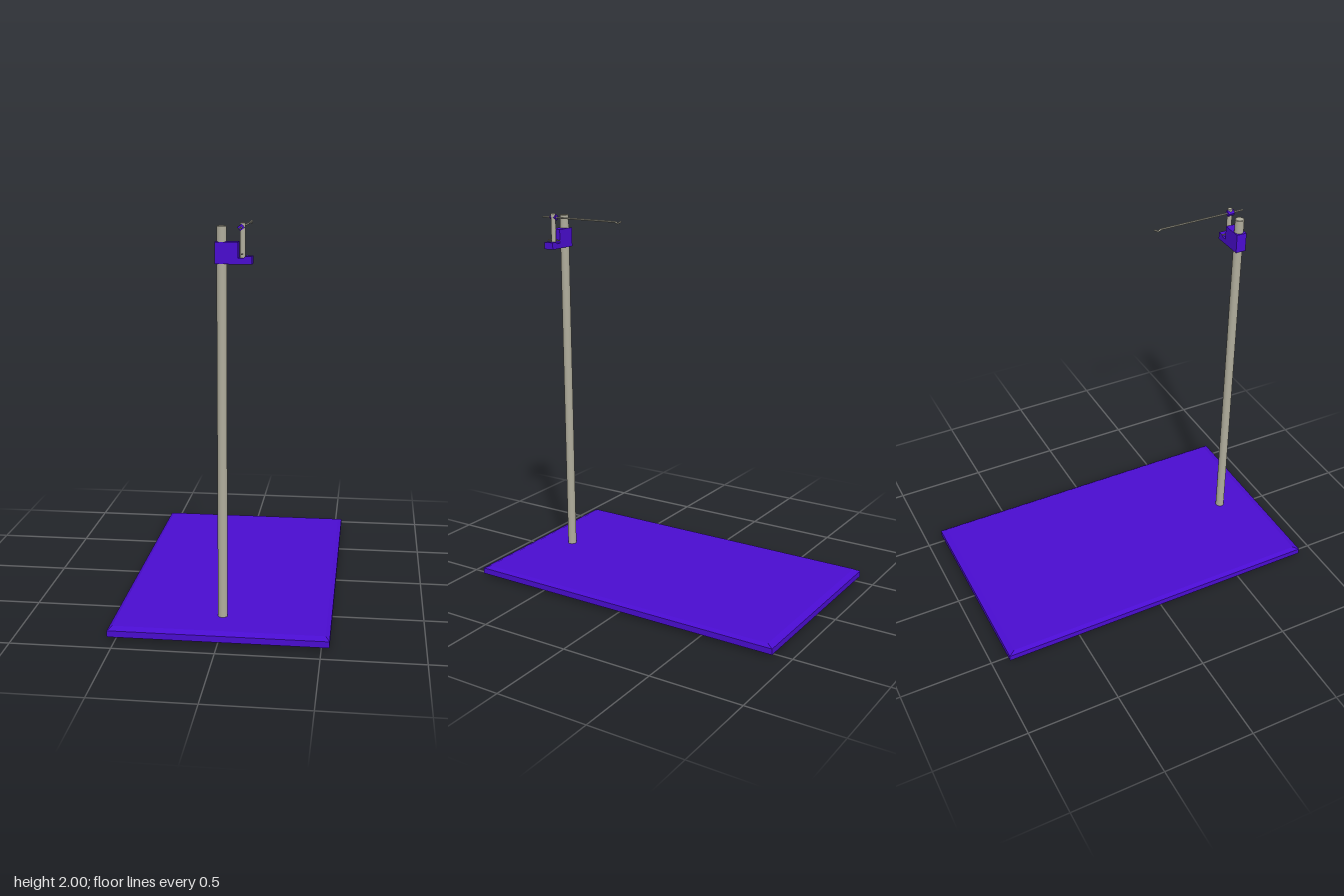
import * as THREE from 'three';

const purple = new THREE.MeshStandardMaterial({ color: 0x4a0cd0 });
const metal = new THREE.MeshStandardMaterial({ color: 0xb0ad9c });
const POST_Z = 0.69;

function add(group, name, geometry, material, x = 0, y = 0, z = 0) {
  const mesh = new THREE.Mesh(geometry, material);
  mesh.name = name;
  mesh.position.set(x, y, z);
  group.add(mesh);
  return mesh;
}

// Upright cylinder between two heights, with a small bevel at the top
function upright(radius, y0, y1, bevel) {
  const side = new THREE.CylinderGeometry(radius, radius, y1 - y0 - bevel, 24);
  side.translate(0, (y0 + y1 - bevel) / 2, 0);
  const cap = new THREE.CylinderGeometry(radius - bevel, radius, bevel, 24);
  cap.translate(0, y1 - bevel / 2, 0);
  return [side, cap];
}

// Slab made of stacked rectangular sections: [y, half width, half depth]
function slab(sections) {
  const points = [];
  const quad = (a, b, c, d) => points.push(...a, ...b, ...c, ...a, ...c, ...d);
  const rings = sections.map(([y, w, d]) => [[-w, y, d], [w, y, d], [w, y, -d], [-w, y, -d]]);
  for (let i = 0; i < rings.length - 1; i++) {
    for (let k = 0; k < 4; k++) {
      const n = (k + 1) % 4;
      quad(rings[i][k], rings[i][n], rings[i + 1][n], rings[i + 1][k]);
    }
  }
  quad(...rings[rings.length - 1]);
  quad(...rings[0].slice().reverse());
  const geometry = new THREE.BufferGeometry();
  geometry.setAttribute('position', new THREE.Float32BufferAttribute(points, 3));
  geometry.computeVertexNormals();
  return geometry;
}

export function createModel() {
  const model = new THREE.Group();
  model.name = 'stand';

  // Base board with bevelled edges
  add(model, 'base', slab([
    [0, 0.45, 0.77], [0.007, 0.52, 0.88], [0.015, 0.54, 0.908],
    [0.047, 0.54, 0.908], [0.06, 0.52, 0.875],
  ]), purple);

  // Tall post
  const post = new THREE.Group();
  post.name = 'post';
  upright(0.024, 0.05, 1.985, 0.003).forEach((g, i) =>
    add(post, i ? 'postCap' : 'postShaft', g, metal, 0, 0, POST_Z));
  model.add(post);

  // Clamp: block around the post with a low ledge to its left
  const outline = new THREE.Shape([
    [-0.03, 1.81], [0.145, 1.81], [0.145, 1.847], [0.115, 1.847], [0.105, 1.838],
    [0.08, 1.838], [0.08, 1.912], [-0.03, 1.912],
  ].map(([x, y]) => new THREE.Vector2(x, y)));
  const clamp = new THREE.ExtrudeGeometry(outline, { depth: 0.056, bevelEnabled: false });
  add(model, 'clamp', clamp, purple, 0, 0, POST_Z - 0.028);

  // Short pin standing on the ledge, with a cross pin at its foot
  const pin = new THREE.Group();
  pin.name = 'shortPin';
  upright(0.013, 1.83, 2, 0.002).forEach((g, i) =>
    add(pin, i ? 'pinCap' : 'pinShaft', g, metal, 0.098, 0, POST_Z));
  const cross = add(pin, 'crossPin', new THREE.CylinderGeometry(0.003, 0.003, 0.078, 10),
    metal, 0.098, 1.856, POST_Z);
  cross.rotation.x = Math.PI / 2;
  model.add(pin);

  // Holder that grips the thin arm at the top of the pin
  const holder = add(model, 'armHolder', new THREE.BoxGeometry(0.026, 0.022, 0.036),
    purple, 0.092, 1.978, POST_Z);
  holder.rotation.z = Math.PI / 5;

  // Thin arm reaching back, with a small kink at the tip
  const path = new THREE.CurvePath();
  const stops = [[1.977, 0.762], [1.977, 0.285], [1.969, 0.272], [1.979, 0.252]]
    .map(([y, z]) => new THREE.Vector3(0.094, y, z));
  for (let i = 0; i < stops.length - 1; i++) path.add(new THREE.LineCurve3(stops[i], stops[i + 1]));
  const arm = new THREE.TubeGeometry(path, 120, 0.0045, 10);
  add(model, 'arm', arm, metal);
  [stops[0], stops[3]].forEach((p) =>
    add(model, 'armEnd', new THREE.SphereGeometry(0.0046, 10, 8), metal, p.x, p.y, p.z));

  return model;
}
